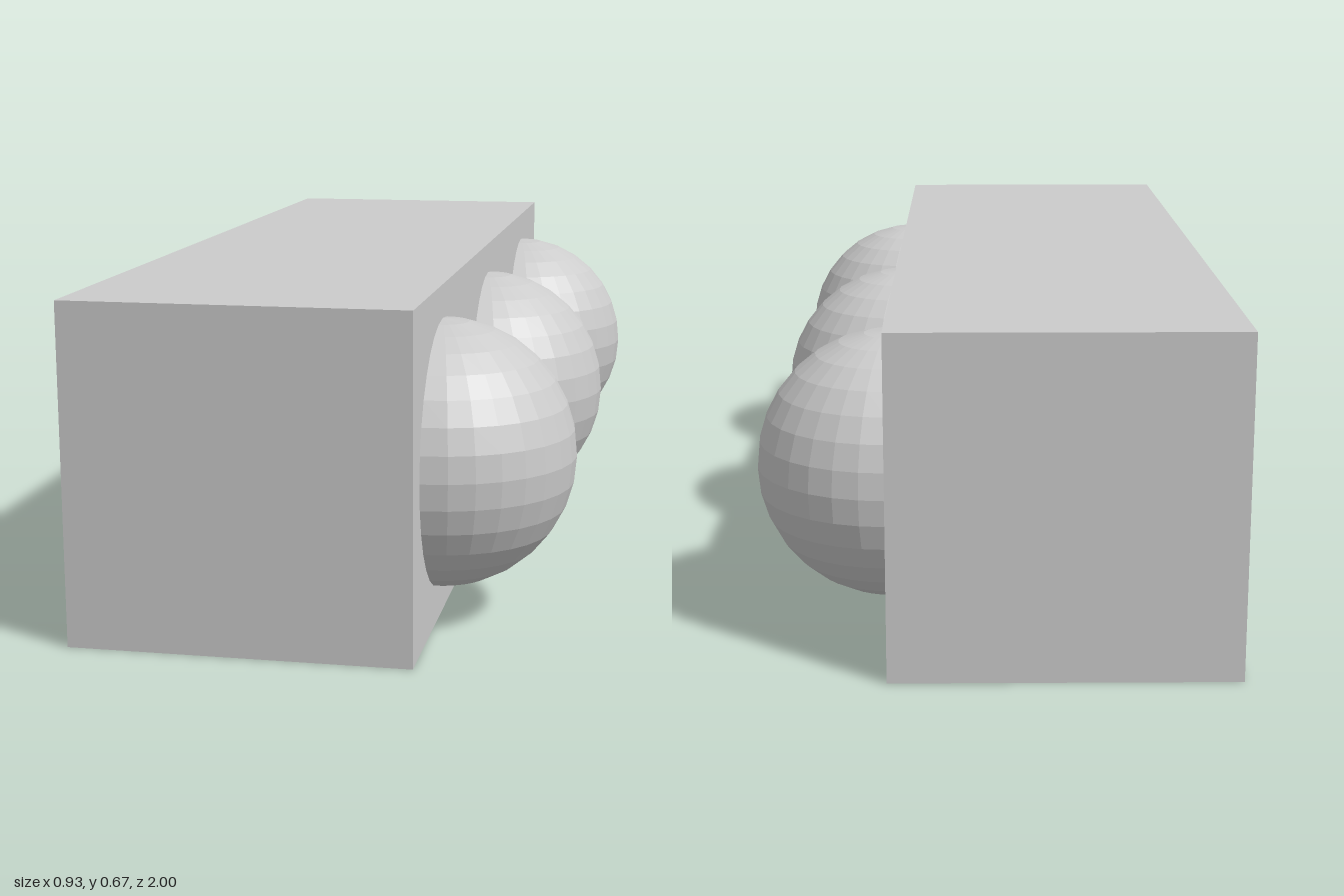
import * as THREE from 'three';

export function createModel() {
  const group = new THREE.Group();
  const material = new THREE.MeshStandardMaterial({ color: 0xcccccc, flatShading: true });
  const size = 2 / 3;
  const radius = 0.8 / 3;
  const faceX = 0.2;

  // Long square housing
  const housing = new THREE.Mesh(new THREE.BoxGeometry(size, size, 2), material);
  housing.name = 'housing';
  housing.position.set(faceX - size / 2, size / 2, 0);
  group.add(housing);

  // Three half-sphere lenses in a row on the +x face
  const lensGeometry = new THREE.SphereGeometry(radius, 16, 16, Math.PI / 2, Math.PI);
  ['rearLens', 'middleLens', 'frontLens'].forEach((name, i) => {
    const lens = new THREE.Mesh(lensGeometry, material);
    lens.name = name;
    lens.position.set(faceX, size / 2, (i - 1) * size);
    group.add(lens);
  });

  return group;
}
